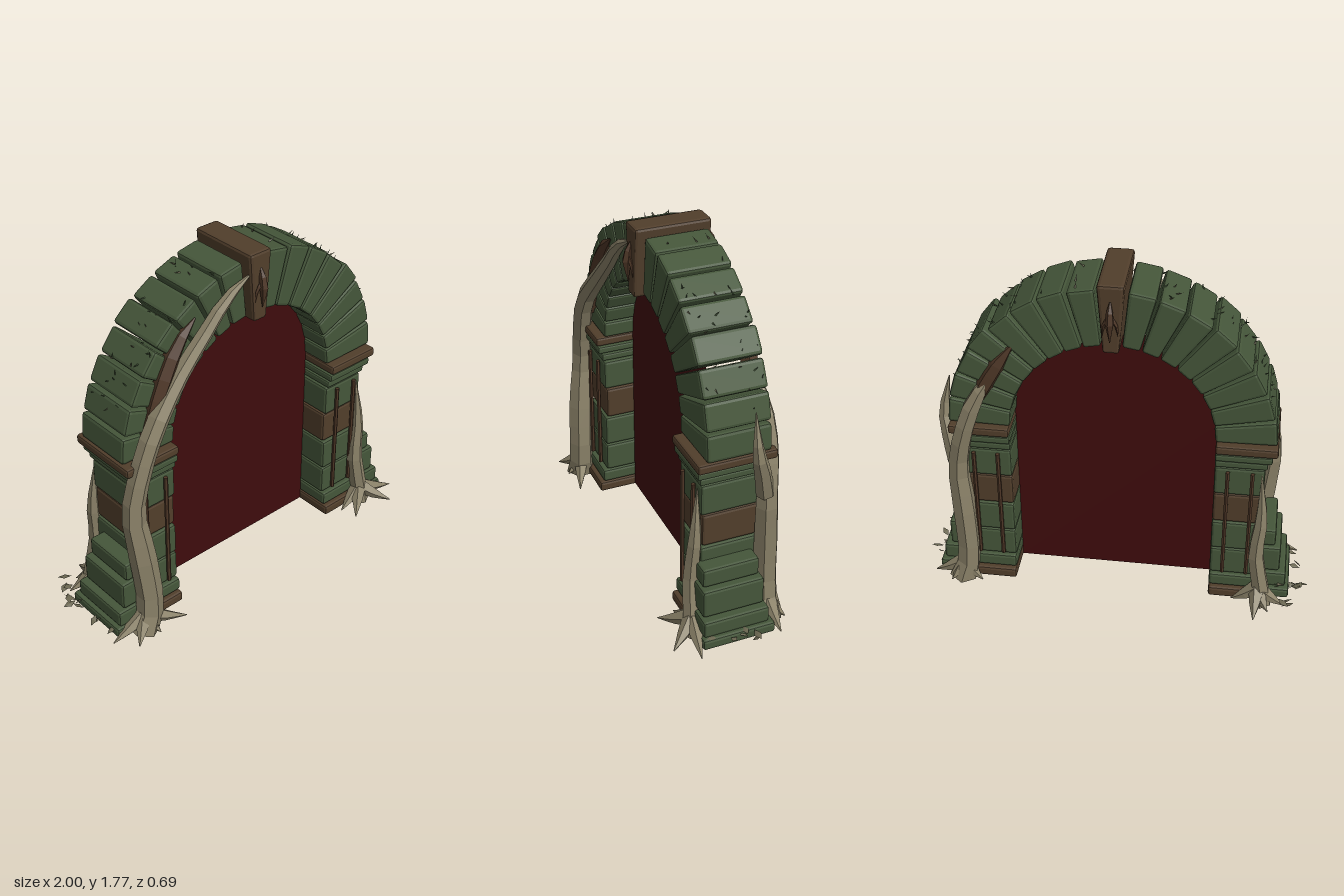
import * as THREE from 'three';
import { RoundedBoxGeometry } from 'three/addons/geometries/RoundedBoxGeometry.js';

const mat = (name, color) => {
  const m = new THREE.MeshStandardMaterial({ color });
  m.name = name;
  return m;
};

export function createModel() {
  const root = new THREE.Group();
  root.name = 'overgrownArchway';
  const stone = mat('mossyStone', 0x45563a);
  const brown = mat('brownStone', 0x513e2b);
  const bark = mat('paleBark', 0x8a8168);
  const dark = mat('darkBark', 0x4d3626);
  const leafMat = mat('dryLeaf', 0x6a6650);
  const red = mat('portalRed', 0x3f0c0d);
  red.side = leafMat.side = THREE.DoubleSide;

  let seed = 11;
  const rnd = (a, b) => {
    seed = (seed * 16807) % 2147483647;
    return a + (b - a) * (seed / 2147483647);
  };
  const flat = (g) => {
    const f = g.index ? g.toNonIndexed() : g;
    f.computeVertexNormals();
    return f;
  };
  const add = (name, geo, material, parent = root) => {
    const m = new THREE.Mesh(flat(geo), material);
    m.name = name;
    parent.add(m);
    return m;
  };

  // Chamfered stone given by its extents
  const block = (name, x0, x1, y0, y1, z0, z1, material, parent) => {
    const w = x1 - x0, h = y1 - y0, d = z1 - z0;
    const r = Math.min(0.014, h * 0.25);
    add(name, new RoundedBoxGeometry(w, h, d, 1, r), material, parent)
      .position.set((x0 + x1) / 2, (y0 + y1) / 2, (z0 + z1) / 2);
  };

  // Tapered limb along [x, y, z, radius] points
  const limb = (name, pts, material = bark, sides = 6, parent = root) => {
    const curve = new THREE.CatmullRomCurve3(pts.map((p) => new THREE.Vector3(p[0], p[1], p[2])));
    const n = (pts.length - 1) * 2;
    const geo = new THREE.TubeGeometry(curve, n, 1, sides, false);
    const pos = geo.attributes.position, v = new THREE.Vector3();
    // radius is interpolated between the nearest control points
    for (let i = 0; i <= n; i++) {
      const t = curve.getUtoTmapping(i / n) * (pts.length - 1);
      const k = Math.min(Math.floor(t), pts.length - 2);
      const r = THREE.MathUtils.lerp(pts[k][3], pts[k + 1][3], t - k);
      const c = curve.getPointAt(i / n);
      for (let j = 0; j <= sides; j++) {
        const id = i * (sides + 1) + j;
        v.fromBufferAttribute(pos, id).sub(c).multiplyScalar(r).add(c);
        pos.setXYZ(id, v.x, Math.max(v.y, 0), v.z);
      }
    }
    return add(name, geo, material, parent);
  };

  // Pillars, mirrored about the centre of the opening
  const CX = 0.01;
  for (const s of [1, -1]) {
    const g = new THREE.Group();
    g.name = s > 0 ? 'leftPillar' : 'rightPillar';
    g.position.x = CX;
    root.add(g);
    const b = (name, x0, x1, y0, y1, z0, z1, m) =>
      block(name, Math.min(s * x0, s * x1), Math.max(s * x0, s * x1), y0, y1, z0, z1, m, g);
    b('pillarFoot', 0.5, 0.78, 0.005, 0.06, -0.19, 0.2, brown);
    b('pillarPlinth', 0.5, 0.77, 0.065, 0.135, -0.17, 0.18, stone);
    b('pillarStone', 0.5, 0.745, 0.14, 0.295, -0.155, 0.16, stone);
    b('pillarStone', 0.5, 0.745, 0.3, 0.465, -0.155, 0.16, stone);
    b('pillarBand', 0.5, 0.74, 0.47, 0.64, -0.15, 0.15, brown);
    b('pillarStone', 0.5, 0.745, 0.645, 0.805, -0.155, 0.16, stone);
    b('pillarMoulding', 0.5, 0.755, 0.815, 0.853, -0.165, 0.17, stone);
    b('pillarMoulding', 0.5, 0.775, 0.86, 0.898, -0.18, 0.19, stone);
    b('pillarCap', 0.5, 0.8, 0.905, 0.952, -0.19, 0.2, brown);
    // Stepped buttress
    b('buttressFoot', 0.77, 0.91, 0.005, 0.06, -0.16, 0.21, stone);
    b('buttressStep', 0.74, 0.89, 0.06, 0.145, -0.135, 0.2, stone);
    b('buttressStep', 0.73, 0.855, 0.15, 0.295, -0.12, 0.19, stone);
    b('buttressStep', 0.72, 0.825, 0.3, 0.395, -0.105, 0.18, stone);
    // Slim rods on both faces
    for (const x of [0.565, 0.685]) for (const z of [-0.168, 0.174]) {
      add('rod', new THREE.CylinderGeometry(0.011, 0.011, 0.63, 6), dark, g)
        .position.set(s * x, 0.475, z);
    }
  }

  // Wedge stones of the arch
  const arch = new THREE.Group();
  arch.name = 'arch';
  arch.position.set(CX, 0.95, 0);
  root.add(arch);
  const wedge = (name, angle, r0, r1, width, depth, taper, material) => {
    const rm = (r0 + r1) / 2;
    const geo = new RoundedBoxGeometry(width, r1 - r0, depth, 1, 0.014);
    const p = geo.attributes.position;
    for (let i = 0; i < p.count; i++) p.setX(i, p.getX(i) * (1 + taper * p.getY(i) / rm));
    const m = add(name, geo, material, arch);
    m.position.set(Math.sin(angle) * rm, Math.cos(angle) * rm, 0);
    m.rotation.z = -angle;
    return m;
  };
  const N = 8, first = 0.09, step = (Math.PI / 2 - first) / N;
  for (const s of [1, -1]) for (let i = 0; i < N; i++) {
    const r1 = (s > 0 ? 0.8 : 0.785) + rnd(-0.01, 0.01);
    wedge('archStone', s * (first + (i + 0.5) * step), 0.495, r1,
      step * (0.495 + r1) / 2 - 0.01, 0.315, 1, stone);
  }
  wedge('keystone', 0, 0.475, 0.825, 0.104, 0.38, 1, brown).position.z = 0.006;

  // Clawed ornament on each face of the keystone
  for (const s of [1, -1]) {
    const z = s * 0.19;
    limb('keystoneClaw', [[CX, 1.7, z, 0.004], [CX, 1.62, z + s * 0.025, 0.026],
      [CX, 1.5, z + s * 0.018, 0.002]], dark, 5);
    for (const k of [1, -1]) {
      limb('keystoneBarb', [[CX, 1.63, z + s * 0.015, 0.012],
        [CX + k * 0.028, 1.59, z + s * 0.012, 0.009],
        [CX + k * 0.036, 1.53, z + s * 0.008, 0.001]], dark, 4);
    }
  }

  // Dark red sheet filling the opening
  const door = new THREE.Shape();
  door.moveTo(CX - 0.5, 0.015);
  door.lineTo(CX + 0.5, 0.015);
  door.lineTo(CX + 0.5, 0.95);
  door.absarc(CX, 0.95, 0.5, 0, Math.PI, false);
  door.closePath();
  add('portalSheet', new THREE.ShapeGeometry(door, 20), red);

  // Great vine climbing the front, and its shorter partner at the back
  limb('frontVine', [[-0.76, 0, 0.22, 0.085], [-0.72, 0.12, 0.23, 0.065], [-0.74, 0.45, 0.215, 0.066],
    [-0.76, 0.7, 0.19, 0.056], [-0.71, 0.93, 0.2, 0.052], [-0.63, 1.12, 0.205, 0.052],
    [-0.47, 1.31, 0.185, 0.043], [-0.31, 1.47, 0.18, 0.036], [-0.18, 1.6, 0.18, 0.03],
    [-0.05, 1.67, 0.18, 0.006]]);
  limb('frontVineSpur', [[-0.66, 1.04, 0.165, 0.03], [-0.55, 1.3, 0.165, 0.045],
    [-0.45, 1.47, 0.16, 0.04], [-0.35, 1.56, 0.16, 0.004]], dark, 5);
  limb('backVine', [[0.79, 0, -0.18, 0.08], [0.755, 0.12, -0.18, 0.06], [0.76, 0.45, -0.17, 0.062],
    [0.775, 0.7, -0.16, 0.055], [0.73, 0.93, -0.18, 0.05], [0.66, 1.12, -0.175, 0.045],
    [0.58, 1.25, -0.165, 0.01]]);
  limb('backVineSpur', [[0.68, 1.06, -0.155, 0.03], [0.61, 1.2, -0.155, 0.045],
    [0.54, 1.32, -0.15, 0.04], [0.47, 1.42, -0.15, 0.004]], dark, 5);
  limb('backVineBranch', [[0.79, 0.72, -0.14, 0.045], [0.82, 0.85, -0.11, 0.042],
    [0.845, 0.97, -0.075, 0.032], [0.81, 1.17, -0.07, 0.002]]);

  // Short roots on the opposite corners
  for (const [x, z, s] of [[0.76, 0.2, 1], [-0.76, -0.19, -1]]) {
    limb('shortRoot', [[x, 0, z, 0.06], [x - s * 0.005, 0.1, z, 0.045], [x - s * 0.04, 0.3, z - s * 0.01, 0.042],
      [x - s * 0.025, 0.52, z - s * 0.02, 0.034], [x - s * 0.04, 0.78, z - s * 0.035, 0.002]]);
  }

  // Toes spreading from each base: start x, z, then tip x, z pairs
  const feet = [
    [-0.75, 0.22, [[-0.94, 0.22], [-0.86, 0.32], [-0.72, 0.31], [-0.55, 0.3]]],
    [0.76, 0.2, [[0.62, 0.32], [0.87, 0.34], [0.97, 0.24], [0.6, 0.23]]],
    [0.78, -0.18, [[0.94, -0.18], [0.68, -0.23], [0.84, -0.25]]],
    [-0.74, -0.19, [[-0.73, -0.35], [-0.61, -0.2], [-0.88, -0.22], [-0.8, -0.28]]],
  ];
  for (const [x, z, tips] of feet) for (const [tx, tz] of tips) {
    const mx = x + (tx - x) * 0.5, mz = z + (tz - z) * 0.5;
    limb('rootToe', [[x, 0.09, z, 0.045], [mx, 0.045, mz, 0.028], [tx, 0.012, tz, 0.002]], bark, 5);
  }

  // Diamond leaves around the feet
  const leaf = (x, y, z, size) => {
    const m = add('leaf', new THREE.OctahedronGeometry(1), leafMat);
    m.scale.set(size, size * 0.08, size * 0.5);
    m.position.set(x, y, z);
    m.rotation.set(rnd(-0.6, 0.6), rnd(0, 6.28), rnd(-0.7, 0.7));
    return m;
  };
  for (let i = 0; i < 9; i++) leaf(rnd(-0.95, -0.82), rnd(0.03, 0.09), rnd(-0.27, -0.12), 0.035);
  for (let i = 0; i < 5; i++) {
    leaf(rnd(-0.95, -0.9), rnd(0.02, 0.08), rnd(-0.1, 0.2), 0.03);
    leaf(rnd(0.9, 0.95), rnd(0.02, 0.07), rnd(-0.1, 0.2), 0.03);
  }
  for (const [x, z] of [[-0.965, -0.1], [0.963, -0.045]]) leaf(x, 0.06, z, 0.035).rotation.set(0.3, 0, 0);

  // Sprigs of moss and grass over the arch
  for (let i = 0; i < 60; i++) {
    const a = (i % 2 ? 1 : -1) * rnd(0.2, 1.3);
    const r = a > 0 ? 0.805 : 0.79;
    const m = add('sprig', new THREE.ConeGeometry(0.005, 0.035, 3), i % 3 ? stone : leafMat);
    m.position.set(CX + Math.sin(a) * r, 0.95 + Math.cos(a) * r, rnd(-0.14, 0.14));
    m.rotation.set(rnd(-0.7, 0.7), 0, -a + rnd(-0.9, 0.9));
  }
  return root;
}
